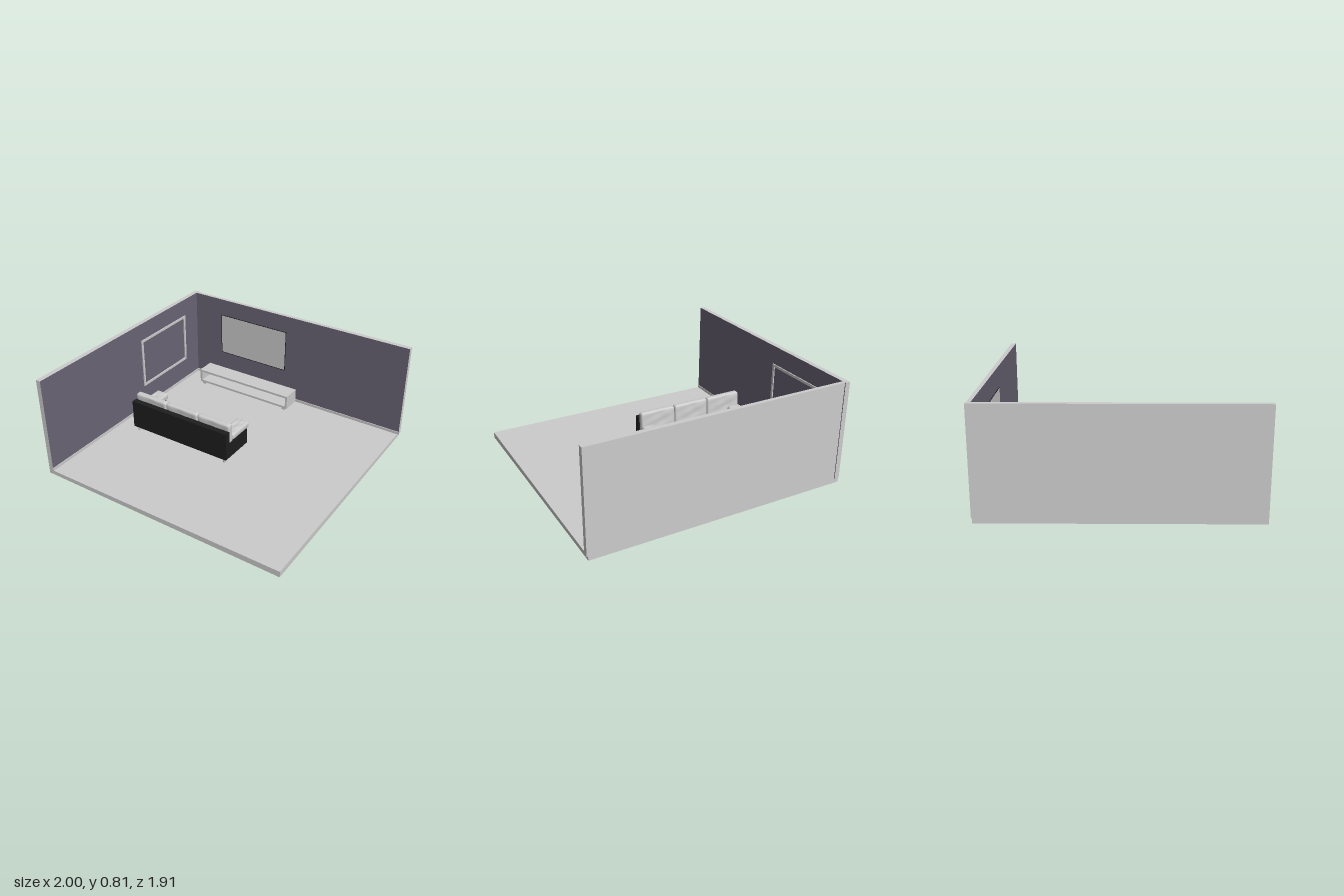
import * as THREE from 'three';
import { mergeVertices } from 'three/addons/utils/BufferGeometryUtils.js';

const mat = (color) => new THREE.MeshStandardMaterial({ color });
const grey = mat(0xcccccc);
const black = mat(0x1e1e1e);
const purple = mat(0x6a6575);

// Box given by its lower and upper limits on each axis
function block(parent, name, [x0, x1], [y0, y1], [z0, z1], material = grey) {
  const geo = new THREE.BoxGeometry(x1 - x0, y1 - y0, z1 - z0);
  geo.translate((x0 + x1) / 2, (y0 + y1) / 2, (z0 + z1) / 2);
  const mesh = new THREE.Mesh(geo, material);
  mesh.name = name;
  parent.add(mesh);
  return mesh;
}

// Move the corners of a mesh by a rule
function warp(mesh, rule) {
  const p = mesh.geometry.attributes.position;
  const v = new THREE.Vector3();
  for (let i = 0; i < p.count; i++) {
    rule(v.fromBufferAttribute(p, i));
    p.setXYZ(i, v.x, v.y, v.z);
  }
  mesh.geometry.computeVertexNormals();
}

// Soft rounded cushion with shallow diagonal folds on its face along `axis`
function cushion(parent, name, size, center, axis, folds) {
  let geo = new THREE.BoxGeometry(2, 2, 2, 18, 12, 18);
  geo.deleteAttribute('uv');
  geo.deleteAttribute('normal');
  geo = mergeVertices(geo);
  const half = new THREE.Vector3(...size).multiplyScalar(0.5);
  const r = Math.min(half.x, half.y, half.z) * 0.7;
  const inner = half.clone().subScalar(r);
  const lower = inner.clone().negate();
  const p = geo.attributes.position;
  const v = new THREE.Vector3();
  const core = new THREE.Vector3();
  const [a, b] = ['x', 'y', 'z'].filter((k) => k !== axis);
  for (let i = 0; i < p.count; i++) {
    v.fromBufferAttribute(p, i);
    for (const k of ['x', 'y', 'z']) v[k] = Math.sin((v[k] * Math.PI) / 2) * half[k];
    core.copy(v).clamp(lower, inner);
    v.sub(core).setLength(r).add(core);
    const s = v[a] / half[a];
    const t = v[b] / half[b];
    const middle = Math.max(0, 1 - s * s) * Math.max(0, 1 - t * t);
    const ripple = Math.sin(5 * s + 3 * t) * Math.cos(4 * t - 2 * s);
    v[axis] += Math.sign(v[axis]) * folds * middle * (ripple - 0.3);
    p.setXYZ(i, v.x, v.y, v.z);
  }
  geo.computeVertexNormals();
  const mesh = new THREE.Mesh(geo, grey);
  mesh.name = name;
  mesh.position.set(...center);
  parent.add(mesh);
  return mesh;
}

function makeRoom() {
  const room = new THREE.Group();
  room.name = 'room';

  // Floor with a slightly uneven underside
  const skewBack = (v) => { if (v.z < -0.94) v.z -= 0.006 * v.x; };
  const floor = block(room, 'floor', [-0.995, 0.99], [0, 0.046], [-0.95, 0.95]);
  warp(floor, (v) => {
    skewBack(v);
    if (v.y < 0.01 && !(v.x > 0 && v.z > 0)) v.y = 0.014;
  });

  // Walls, painted on the room side only
  const leftPaint = [purple, grey, grey, grey, grey, grey];
  const backPaint = [grey, grey, grey, grey, purple, grey];
  block(room, 'sideWall', [-0.995, -0.957], [0.046, 0.807], [-0.95, 0.95], leftPaint);
  const back = block(room, 'backWall', [-0.957, 1], [0.046, 0.807], [-0.95, -0.917], backPaint);
  warp(back, skewBack);

  // Baseboards
  block(room, 'sideBaseboard', [-0.957, -0.952], [0.046, 0.068], [-0.917, 0.95]);
  block(room, 'backBaseboard', [-0.952, 0.997], [0.046, 0.068], [-0.917, -0.911]);
  return room;
}

function makeSofa() {
  const sofa = new THREE.Group();
  sofa.name = 'sofa';
  const [x0, x1] = [-0.805, 0.078];
  const mid = (x0 + x1) / 2;

  // Dark body: base, back panel and arms
  block(sofa, 'sofaBase', [x0, x1], [0.085, 0.145], [-0.11, 0.187], black);
  block(sofa, 'sofaBackPanel', [x0, x1], [0.145, 0.315], [0.14, 0.187], black);
  for (const side of [-1, 1]) {
    const outer = mid + side * (x1 - mid);
    const range = [outer, outer - side * 0.105].sort((a, b) => a - b);
    block(sofa, 'sofaArm', range, [0.145, 0.212], [-0.108, 0.14], black);
    cushion(sofa, 'armCushion', [0.11, 0.055, 0.23], [outer - side * 0.053, 0.238, -0.024], 'y', 0.005);
    cushion(sofa, 'seatCushion', [0.325, 0.07, 0.2], [mid + side * 0.166, 0.175, -0.006], 'y', 0.01);

    // Feet
    for (const z of [-0.09, 0.16]) {
      const foot = new THREE.Mesh(new THREE.CylinderGeometry(0.012, 0.01, 0.04, 12), grey);
      foot.name = 'sofaFoot';
      foot.position.set(outer - side * 0.03, 0.066, z);
      sofa.add(foot);
    }
  }

  // Three leaning back cushions
  const step = (x1 - x0) / 3;
  for (let i = 0; i < 3; i++) {
    const c = cushion(sofa, 'backCushion', [step - 0.004, 0.165, 0.054], [x0 + step * (i + 0.5), 0.284, 0.112], 'z', 0.006);
    c.rotation.x = 0.06;
  }
  return sofa;
}

function makeCabinet() {
  const cabinet = new THREE.Group();
  cabinet.name = 'lowCabinet';
  const [x0, x1] = [-0.803, 0.075];
  const z = [-0.885, -0.735];
  const t = 0.018;
  block(cabinet, 'cabinetTop', [x0, x1], [0.18 - t, 0.18], z);
  block(cabinet, 'cabinetBottom', [x0, x1], [0.065, 0.065 + t], z);
  block(cabinet, 'cabinetSide', [x0, x0 + t], [0.065 + t, 0.18 - t], z);
  block(cabinet, 'cabinetSide', [x1 - t, x1], [0.065 + t, 0.18 - t], z);
  block(cabinet, 'cabinetBack', [x0 + t, x1 - t], [0.065 + t, 0.18 - t], [z[0], z[0] + 0.01]);
  for (const x of [x0 + 0.02, x1 - 0.05])
    for (const fz of [-0.88, -0.77]) block(cabinet, 'cabinetFoot', [x, x + 0.03], [0.046, 0.065], [fz, fz + 0.03]);
  return cabinet;
}

function makeTelevision() {
  const tv = new THREE.Group();
  tv.name = 'television';
  const cx = -0.363;
  const cy = 0.5;
  const body = block(tv, 'televisionBody', [-0.682, -0.044], [0.322, 0.678], [-0.905, -0.894], black);
  // Bevelled towards the wall
  body.geometry = body.geometry.toNonIndexed();
  warp(body, (v) => {
    if (v.z < -0.9) {
      v.x -= Math.sign(v.x - cx) * 0.012;
      v.y -= Math.sign(v.y - cy) * 0.012;
    }
  });
  block(tv, 'televisionMount', [cx - 0.08, cx + 0.08], [cy - 0.06, cy + 0.06], [-0.917, -0.905], black);
  block(tv, 'televisionScreen', [-0.676, -0.05], [0.328, 0.672], [-0.896, -0.893]);
  return tv;
}

function makePictureFrame() {
  const frame = new THREE.Group();
  frame.name = 'wallFrame';
  const x = [-0.957, -0.949];
  const w = 0.02;
  for (const y of [0.248, 0.664 - w]) block(frame, 'frameRail', x, [y, y + w], [-0.732, -0.142]);
  for (const z of [-0.732, -0.142 - w]) block(frame, 'frameStile', x, [0.248 + w, 0.664 - w], [z, z + w]);
  return frame;
}

export function createModel() {
  const model = new THREE.Group();
  model.name = 'livingRoom';
  model.add(makeRoom(), makeSofa(), makeCabinet(), makeTelevision(), makePictureFrame());
  return model;
}
